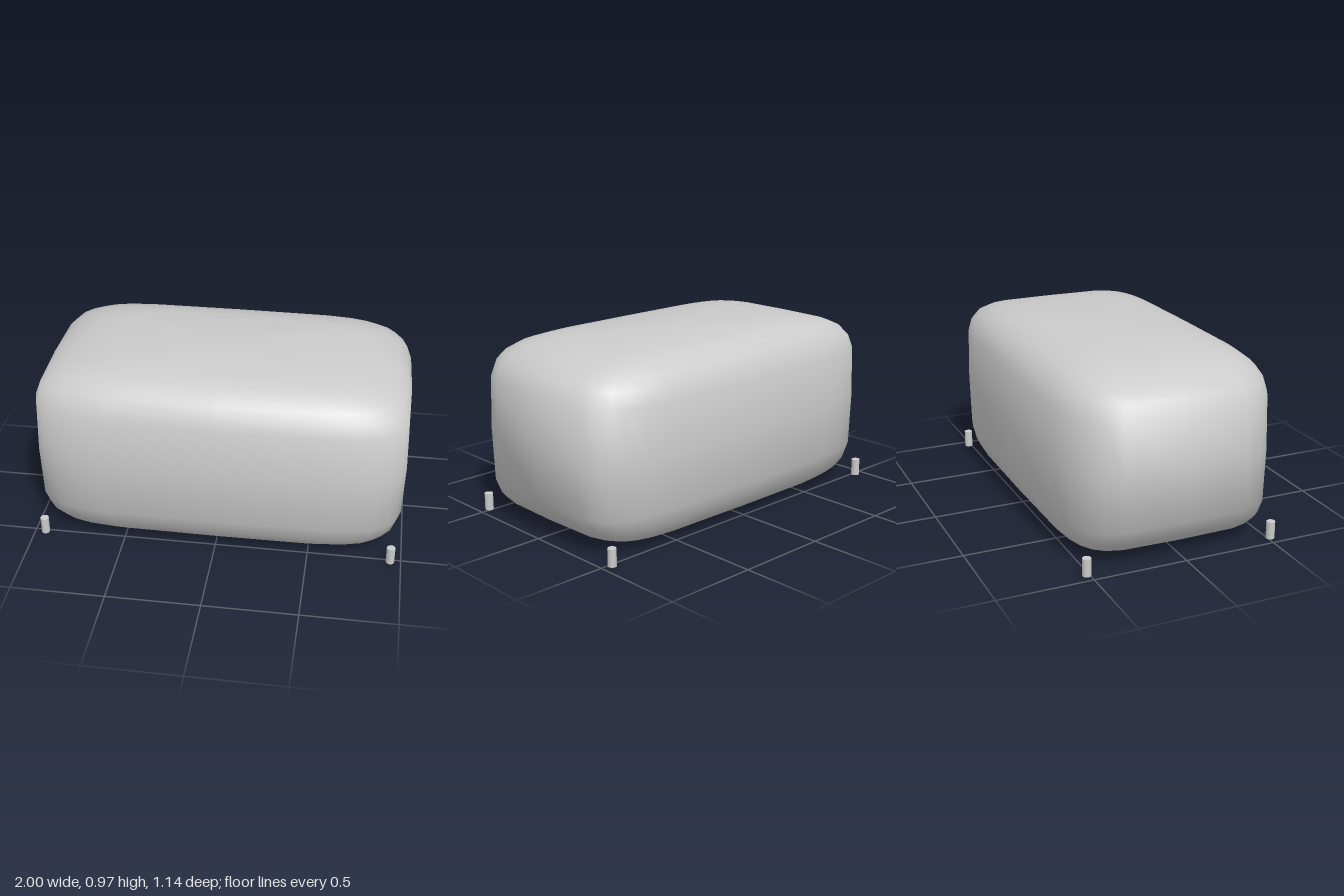
import * as THREE from 'three';

const material = new THREE.MeshStandardMaterial({ color: 0xcccccc });

// Sphere pushed towards a cube; it keeps the soft normals of the sphere.
function puffyBox(exponent) {
  const geometry = new THREE.SphereGeometry(1, 28, 14);
  const p = geometry.attributes.position;
  const push = (v) => (Math.abs(v) < 1e-6 ? 0 : Math.sign(v) * Math.abs(v) ** exponent);
  for (let i = 0; i < p.count; i++) {
    p.setXYZ(i, push(p.getX(i)), push(p.getY(i)), push(p.getZ(i)));
  }
  return geometry;
}

export function createModel() {
  const model = new THREE.Group();
  model.name = 'cushionedOttoman';

  // Body
  const body = new THREE.Mesh(puffyBox(0.35), material);
  body.name = 'cushionBody';
  body.scale.set(1, 0.4825, 0.57);
  body.position.y = 0.4875;
  model.add(body);

  // Four short feet at the corners
  const footGeometry = new THREE.CylinderGeometry(0.023, 0.023, 0.094, 12);
  for (const x of [-1, 1]) {
    for (const z of [-1, 1]) {
      const foot = new THREE.Mesh(footGeometry, material);
      foot.name = (z > 0 ? 'front' : 'back') + (x > 0 ? 'Left' : 'Right') + 'Foot';
      foot.position.set(x * 0.943, 0.047, z * 0.515);
      model.add(foot);
    }
  }
  return model;
}
